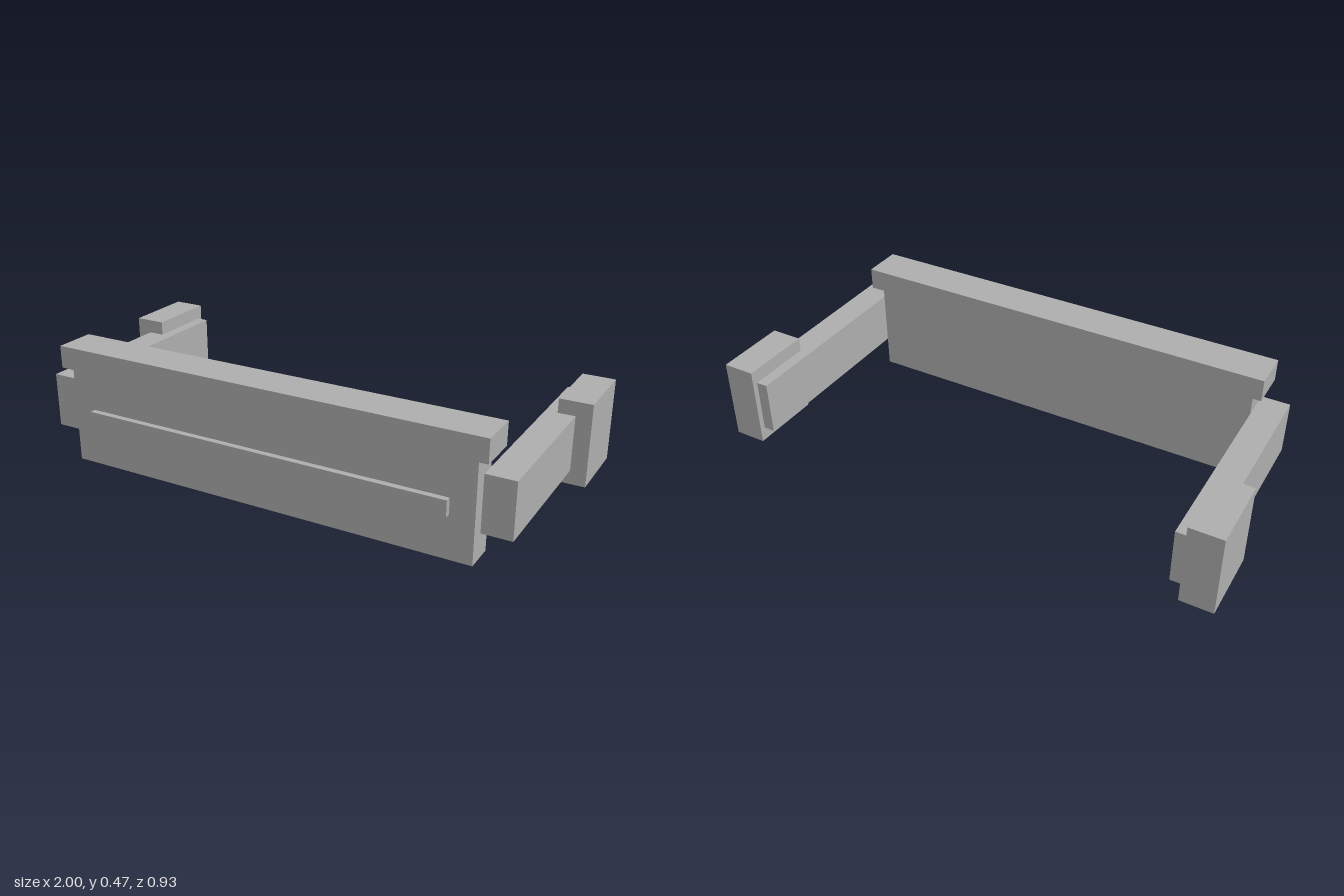
import * as THREE from 'three';

export function createModel() {
  const group = new THREE.Group();
  const grey = new THREE.MeshStandardMaterial({ color: 0xb0b0b0 });
  grey.name = 'grey';

  // Box given by its [min, max] range on each axis
  function box(name, [x0, x1], [y0, y1], [z0, z1]) {
    const mesh = new THREE.Mesh(new THREE.BoxGeometry(x1 - x0, y1 - y0, z1 - z0), grey);
    mesh.position.set((x0 + x1) / 2, (y0 + y1) / 2, (z0 + z1) / 2);
    mesh.name = name;
    group.add(mesh);
  }

  // Front beam with its cap and raised strip
  box('frontPanel', [-0.82, 0.82], [0, 0.379], [0.325, 0.44]);
  box('topCap', [-0.858, 0.858], [0.379, 0.466], [0.299, 0.458]);
  box('frontStrip', [-0.73, 0.73], [0.163, 0.225], [0.44, 0.463]);

  // Side arms and their rear end blocks, mirrored
  for (const [side, s] of [['left', 1], ['right', -1]]) {
    const span = (a, b) => (s > 0 ? [a, b] : [-b, -a]);
    box(side + 'Arm', span(0.83, 0.94), [0.11, 0.322], [-0.44, 0.412]);
    box(side + 'EndBlock', span(0.875, 1), [0.057, 0.377], [-0.462, -0.177]);
  }
  return group;
}
